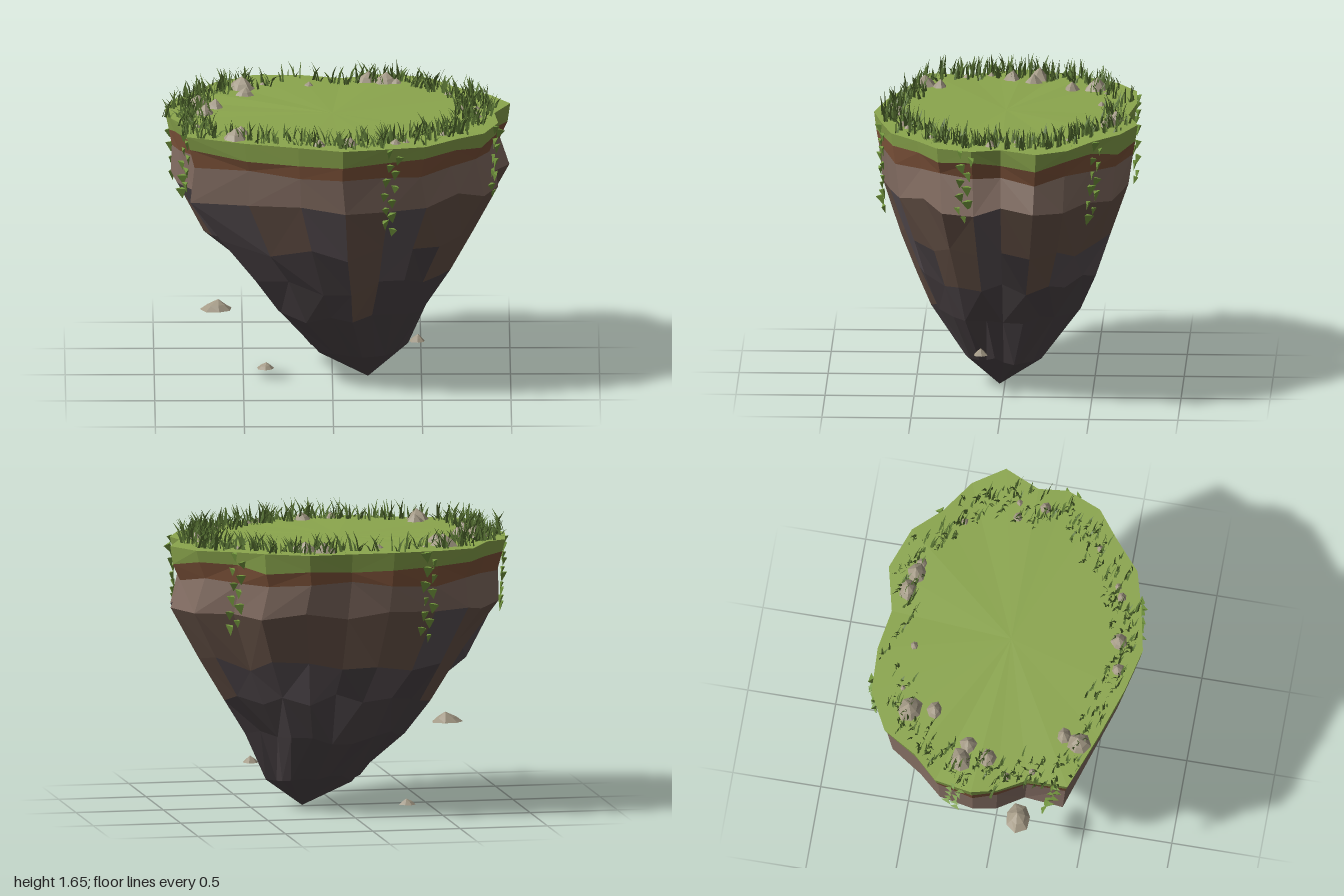
import * as THREE from 'three';

const mat = (name, color, side = THREE.FrontSide) => {
  const m = new THREE.MeshStandardMaterial({ color, side, flatShading: true });
  m.name = name;
  return m;
};

// Repeatable pseudo-random value in 0..1
const hash = (a, b = 0) => {
  const s = Math.sin(a * 127.1 + b * 311.7 + 4.3) * 43758.5453;
  return s - Math.floor(s);
};

// Plan outline of the island as x, z pairs, counter-clockwise from above
const OUTLINE = [
  [1, -0.2], [0.885, -0.375], [0.69, -0.51], [0.55, -0.66], [0.31, -0.75], [0.055, -0.69],
  [-0.18, -0.73], [-0.445, -0.72], [-0.655, -0.61], [-0.77, -0.42], [-0.9, -0.28], [-0.94, -0.07],
  [-0.905, 0.07], [-0.815, 0.23], [-0.82, 0.46], [-0.495, 0.58], [-0.195, 0.68], [0.055, 0.74],
  [0.3, 0.69], [0.52, 0.63], [0.7, 0.475], [0.85, 0.36], [0.93, 0.165], [0.91, 0],
];
const N = OUTLINE.length;
const TOP = 1.53;
const TIP = [0.2, 0, 0.03];

// Levels going down: y, centre x, x scale, z scale, y jitter, radial jitter
const LEVELS = [
  [TOP, 0, 1, 1, 0.008, 0],
  [1.44, 0, 0.98, 0.98, 0.022, 0.006],
  [1.35, 0, 0.95, 0.96, 0.02, 0.01],
  [1.17, 0.015, 0.985, 0.925, 0.03, 0.01],
  [0.87, 0.04, 0.8, 0.81, 0.045, 0.025],
  [0.65, 0.07, 0.625, 0.69, 0.05, 0.03],
  [0.43, 0.085, 0.47, 0.57, 0.035, 0.04],
  [0.18, 0.15, 0.275, 0.295, 0.02, 0.09],
];
const rings = LEVELS.map(([y, cx, sx, sz, jy, jr], k) => OUTLINE.map(([x, z], i) => {
  const r = 1 + (hash(i, k) - 0.5) * 2 * jr;
  return [cx + x * sx * r, y + (hash(i + 50, k) - 0.5) * 2 * jy, z * sz * r];
}));

// Outline point in a given direction, t from 0 to N
const edgePoint = (t) => {
  const i = Math.floor(t) % N, f = t - Math.floor(t);
  const a = OUTLINE[i], b = OUTLINE[(i + 1) % N];
  return [a[0] + (b[0] - a[0]) * f, a[1] + (b[1] - a[1]) * f];
};

function triangleMesh(name, positions, material) {
  const g = new THREE.BufferGeometry();
  g.setAttribute('position', new THREE.Float32BufferAttribute(positions, 3));
  g.computeVertexNormals();
  const mesh = new THREE.Mesh(g, material);
  mesh.name = name;
  return mesh;
}

// Pointed faceted stone with a flat base
function makeStone(name, material, r, h, seed) {
  const sides = 7, base = [], mid = [], apex = [r * 0.1, h, -r * 0.08], p = [];
  for (let i = 0; i < sides; i++) {
    const a = -(i / sides) * Math.PI * 2 + seed;
    const q = r * (0.85 + 0.3 * hash(i, seed));
    base.push([Math.cos(a) * q, 0, Math.sin(a) * q * 0.85]);
    mid.push([Math.cos(a) * q * 0.58, h * (0.42 + 0.14 * hash(i, seed + 9)), Math.sin(a) * q * 0.49]);
  }
  for (let i = 0; i < sides; i++) {
    const j = (i + 1) % sides;
    // Angles run clockwise seen from above, so the outer faces go j before i
    p.push(...base[j], ...base[i], ...mid[i], ...base[j], ...mid[i], ...mid[j]);
    p.push(...mid[j], ...mid[i], ...apex, ...base[i], ...base[j], 0, 0, 0);
  }
  // Mirror the winding so every face points outwards
  for (let t = 0; t < p.length; t += 9) {
    for (let c = 0; c < 3; c++) [p[t + 3 + c], p[t + 6 + c]] = [p[t + 6 + c], p[t + 3 + c]];
  }
  return triangleMesh(name, p, material);
}

export function createModel() {
  const model = new THREE.Group();
  model.name = 'floatingIsland';
  const M = {
    grass: mat('grass green', 0x8ba64d),
    soil: mat('soil brown', 0x82563c),
    upper: mat('upper rock', 0x836d62),
    brown: mat('brown rock', 0x6a554a),
    grey: mat('grey rock', 0x5c5357),
    dark: mat('dark rock', 0x4e4649),
    stone: mat('stone', 0xa39985),
    blade: mat('blade green', 0x587333, THREE.DoubleSide),
    leaf: mat('leaf green', 0x75993f, THREE.DoubleSide),
  };

  // Island body: stacked bands of facets, sorted by colour
  const greyTop = [7, 10, 12, 14, 16, 18, 22];
  const brownLong = [0, 17, 21, 20, 9];
  const facets = { grass: [], soil: [], upper: [], brown: [], grey: [], dark: [] };
  const pick = (row, col) => {
    if (row < 3) return ['grass', 'soil', 'upper'][row];
    if (row === 3) return greyTop.includes(col) ? 'grey' : 'brown';
    if (row === 4) return brownLong.includes(col) ? 'brown' : col % 4 === 2 || col < 5 ? 'grey' : 'dark';
    return row === 5 && col === 17 ? 'brown' : 'dark';
  };
  for (let i = 0; i < N; i++) {
    const j = (i + 1) % N;
    facets.grass.push(0, TOP + 0.005, 0, ...rings[0][i], ...rings[0][j]);
    for (let k = 0; k < rings.length - 1; k++) {
      const a = rings[k + 1][i], b = rings[k + 1][j], c = rings[k][j], d = rings[k][i];
      const out = facets[pick(k, i)];
      if (hash(i, k + 70) > 0.5) out.push(...a, ...b, ...c, ...a, ...c, ...d);
      else out.push(...a, ...b, ...d, ...b, ...c, ...d);
    }
    facets.dark.push(...TIP, ...rings[rings.length - 1][j], ...rings[rings.length - 1][i]);
  }
  const names = {
    grass: 'turf', soil: 'soilBand', upper: 'upperRockBand',
    brown: 'brownRockFacets', grey: 'greyRockFacets', dark: 'lowerRock',
  };
  for (const key in facets) model.add(triangleMesh(names[key], facets[key], M[key]));

  // Grass tufts around the rim, leaning with the wind
  const blades = [];
  const tufts = 190;
  for (let t = 0; t < tufts; t++) {
    const [ex, ez] = edgePoint(((t + hash(t, 1)) / tufts) * N);
    if (ez < -0.55 && ex < 0.05 && ex > -0.5 && t % 4) continue;
    const overhang = ex < -0.7 && ez > 0 ? 0.08 : 0;
    const s = 0.75 + overhang + 0.21 * hash(t, 2);
    for (let b = 0; b < 5; b++) {
      const id = t * 5 + b;
      const along = (hash(id, 3) - 0.5) * 0.07;
      const x = ex * s + along, z = ez * s + along * 0.5 + (hash(id, 4) - 0.5) * 0.02;
      const h = 0.03 + 0.09 * hash(id, 5), w = 0.005 + 0.004 * hash(id, 6);
      const a = hash(id, 7) * Math.PI, dx = Math.cos(a) * w, dz = Math.sin(a) * w;
      const lean = (hash(id, 8) - 0.5) * 0.1;
      const lx = lean, lz = lean * 0.6 + (hash(id, 9) - 0.5) * 0.02;
      const m = [x + lx * 0.35, TOP + h * 0.55, z + lz * 0.35];
      const l = [m[0] - dx * 0.8, m[1], m[2] - dz * 0.8], r = [m[0] + dx * 0.8, m[1], m[2] + dz * 0.8];
      const p = [x - dx, TOP - 0.004, z - dz], q = [x + dx, TOP - 0.004, z + dz];
      blades.push(...p, ...q, ...r, ...p, ...r, ...l, ...l, ...r, x + lx, TOP + h, z + lz);
    }
  }
  model.add(triangleMesh('grassBlades', blades, M.blade));

  // Stones on the turf: x, z, radius
  const stones = [
    [-0.51, -0.49, 0.085], [-0.49, -0.35, 0.06], [-0.76, -0.16, 0.075], [-0.66, -0.13, 0.06],
    [-0.72, -0.01, 0.065], [-0.52, 0.39, 0.06], [-0.55, 0.48, 0.08], [-0.08, 0.62, 0.05],
    [0.09, 0.6, 0.06], [0.35, 0.57, 0.035], [0.41, 0.54, 0.025], [0.2, -0.62, 0.07],
    [0.3, -0.59, 0.075], [0.36, -0.57, 0.045], [-0.13, -0.53, 0.035], [-0.39, -0.55, 0.025],
    [0.65, -0.375, 0.025], [0.725, -0.085, 0.035], [0.81, -0.09, 0.025], [0.805, 0.06, 0.045],
    [-0.76, 0.25, 0.025], [-0.81, 0.11, 0.025], [0.62, 0.4, 0.025],
  ];
  stones.forEach(([x, z, r], i) => {
    const s = makeStone('turfStone', M.stone, r, r * 0.9, i + 1);
    s.position.set(x, TOP - 0.005, z);
    model.add(s);
  });

  // Loose fragments floating beside the lower rock: x, y, z, radius, height
  [[-0.65, 0.43, 0.15, 0.085, 0.058], [0.475, 0.235, 0.13, 0.047, 0.04], [-0.375, 0.005, -0.1, 0.044, 0.035]]
    .forEach(([x, y, z, r, h], i) => {
      const s = makeStone('floatingFragment', M.stone, r, h, i + 31);
      s.position.set(x, y, z);
      model.add(s);
    });

  // Hanging vines tucked against the wall: x, z at the rim, lowest y
  const leafShape = new THREE.ConeGeometry(0.034, 0.06, 3).rotateX(Math.PI).scale(1, 1, 0.45);
  [[-0.83, 0.38, 1.15], [0.34, 0.69, 1.05], [0.925, 0.19, 1.12], [0.68, -0.53, 1.07],
    [-0.4, -0.72, 1.05], [-0.92, -0.16, 1.12]].forEach(([x, z, low], v) => {
    const vine = new THREE.Group();
    vine.name = 'vine';
    vine.position.set(x * 0.99, 0, z * 0.99);
    vine.rotation.y = Math.atan2(x * 0.6, z);
    const count = Math.round((1.5 - low) / 0.042);
    for (let i = 0; i <= count; i++) {
      const leaf = new THREE.Mesh(leafShape, M.leaf);
      leaf.name = 'vineLeaf';
      const sway = (i % 2 ? 1 : -1) * (0.012 + 0.025 * hash(i, v + 20));
      leaf.position.set(sway - 0.035 * (i / count), 1.5 - i * 0.042, 0.008 - 0.02 * (i / count));
      leaf.rotation.set(0.2, (hash(i, v) - 0.5) * 1.4, (hash(i, v + 5) - 0.5) * 0.5);
      leaf.scale.setScalar(0.75 + 0.35 * hash(i, v + 40));
      vine.add(leaf);
    }
    model.add(vine);
  });

  return model;
}
